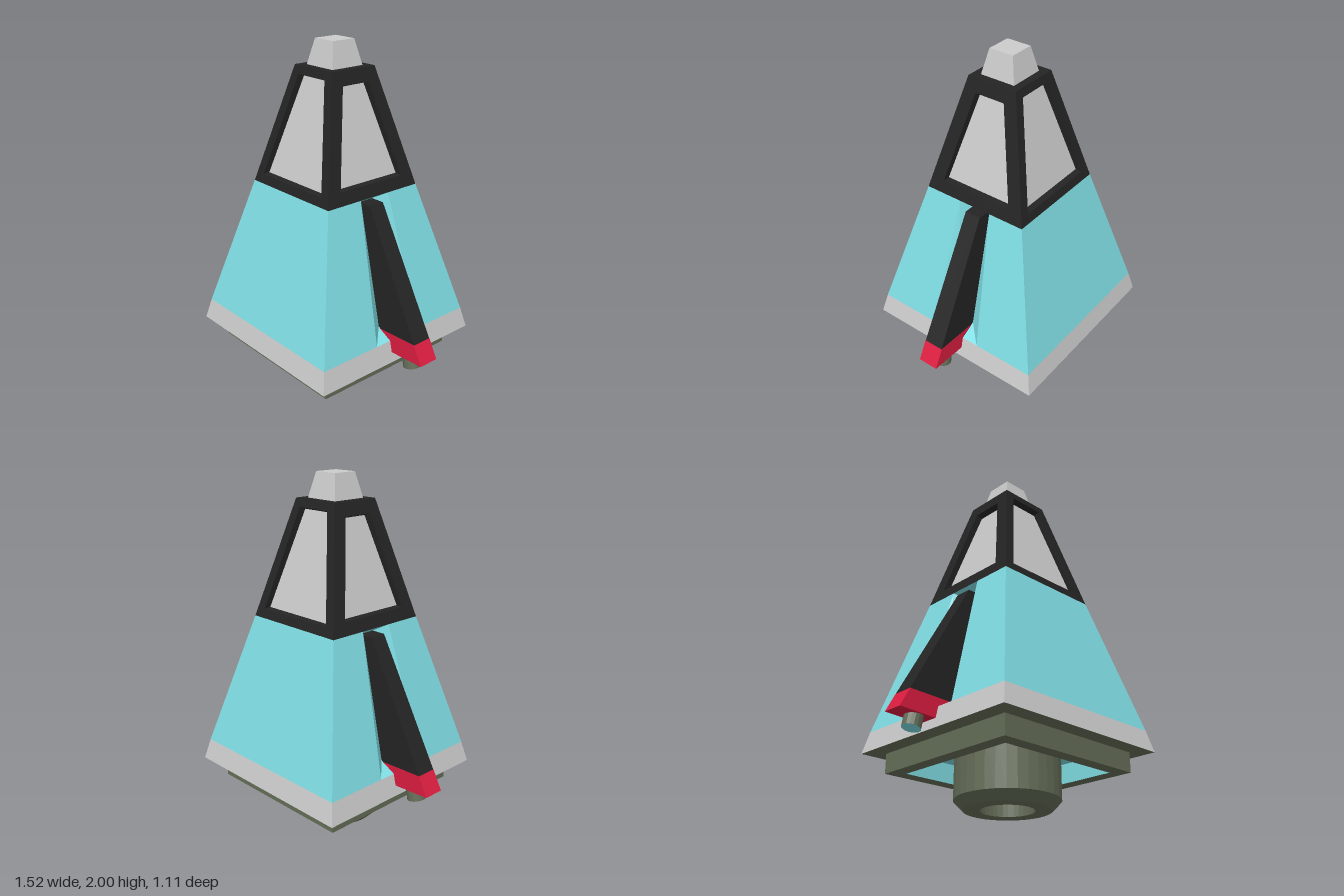
import * as THREE from 'three';

const mat = (color) => new THREE.MeshStandardMaterial({ color, flatShading: true });

// Square loop at height y with half-width r, starting at the front left corner
const square = (y, r) => [[-r, y, r], [r, y, r], [r, y, -r], [-r, y, -r]];

// Quads joining two four-point loops
const band = (a, b) => a.map((p, i) => [p, a[(i + 1) % 4], b[(i + 1) % 4], b[i]]);

// Trapezoid on a front-facing slope, counter-clockwise from bottom left
const trapezoid = (y0, w0, z0, y1, w1, z1, off = 0) =>
  [[-w0 + off, y0, z0], [w0 + off, y0, z0], [w1 + off, y1, z1], [-w1 + off, y1, z1]];

function quadMesh(name, material, quads) {
  const points = quads.flatMap(([a, b, c, d]) => [a, b, c, a, c, d]).flat();
  const geometry = new THREE.BufferGeometry();
  geometry.setAttribute('position', new THREE.Float32BufferAttribute(points, 3));
  geometry.computeVertexNormals();
  const mesh = new THREE.Mesh(geometry, material);
  mesh.name = name;
  return mesh;
}

export function createModel() {
  const model = new THREE.Group();
  model.name = 'rocket';
  const grey = mat(0xcccccc), teal = mat(0x7fdde3), black = mat(0x242424);
  const red = mat(0xdc1d40), olive = mat(0x656e58);

  // Nose block and grey skirt
  const noseTop = square(2, 0.073);
  model.add(quadMesh('noseTip', grey, [...band(square(1.86, 0.105), noseTop), noseTop]));
  model.add(quadMesh('skirt', grey, band(square(0.31, 0.555), square(0.43, 0.527))));

  // Hull and cabin, one side at a time
  const hullFace = trapezoid(0.43, 0.527, 0.527, 1.2, 0.32, 0.32);
  const cabinFace = trapezoid(1.2, 0.32, 0.32, 1.86, 0.15, 0.15);
  const cabinZ = (y) => 0.32 - (y - 1.2) * 0.2576;
  for (let i = 0; i < 4; i++) {
    const side = new THREE.Group();
    side.name = ['frontSide', 'leftSide', 'backSide', 'rightSide'][i];
    side.rotation.y = i * Math.PI / 2;
    const lateral = i % 2 === 1;

    // Lateral hull panels have a tapered groove for the fin
    if (lateral) {
      const off = i === 1 ? 0.006 : -0.006;
      const rim = trapezoid(0.43, 0.16, 0.527, 1.2, 0.1, 0.32, off);
      const floor = trapezoid(0.48, 0.055, 0.43, 1.16, 0.05, 0.25, off);
      side.add(quadMesh('groovedHullPanel', teal, [
        [hullFace[0], rim[0], rim[3], hullFace[3]],
        [rim[1], hullFace[1], hullFace[2], rim[2]],
        ...band(rim, floor), floor,
      ]));
    } else {
      side.add(quadMesh('hullPanel', teal, [hullFace]));
    }

    // Window frame with a recessed pane
    const [y0, w0, y1, w1] = lateral ? [1.27, 0.22, 1.785, 0.09] : [1.25, 0.25, 1.815, 0.107];
    const depth = 0.035;
    const hole = trapezoid(y0, w0, cabinZ(y0), y1, w1, cabinZ(y1));
    const pane = trapezoid(y0 + 0.005, w0 - 0.006, cabinZ(y0) - depth,
      y1 - 0.012, w1 - 0.004, cabinZ(y1) - depth);
    side.add(quadMesh('windowFrame', black, [...band(cabinFace, hole), ...band(hole, pane)]));
    side.add(quadMesh('windowPane', grey, [pane]));
    model.add(side);
  }
  model.add(quadMesh('cabinRoof', black, [square(1.86, 0.15)]));

  // Base plate: flange, outer walls and bottom rim around a teal cavity
  model.add(quadMesh('basePlate', olive, [
    ...band(square(0.31, 0.46), square(0.31, 0.555)),
    ...band(square(0.2, 0.46), square(0.31, 0.46)),
    ...band(square(0.2, 0.38), square(0.2, 0.46)),
  ]));
  model.add(quadMesh('baseCavity', teal, [
    ...band(square(0.31, 0.38), square(0.2, 0.38)),
    square(0.31, 0.38).reverse(),
  ]));

  // Main engine: chamfered tube with a blind bore
  const profile = [[0, 0.25], [0.145, 0.25], [0.145, 0], [0.235, 0], [0.285, 0.05], [0.285, 0.31]];
  const engine = new THREE.Mesh(
    new THREE.LatheGeometry(profile.map(([x, y]) => new THREE.Vector2(x, y)), 32), olive);
  engine.name = 'mainEngine';
  model.add(engine);

  // Side fins with red feet and small tilted thrusters
  const section = (x0, y0, x1, y1, w) => [[x0, y0, w], [x1, y1, w], [x1, y1, -w], [x0, y0, -w]];
  for (const s of [1, -1]) {
    const fin = new THREE.Group();
    fin.name = s > 0 ? 'leftFin' : 'rightFin';
    fin.position.z = -0.006;
    if (s < 0) fin.rotation.y = Math.PI;

    const top = section(0.24, 1.16, 0.335, 1.16, 0.048);
    const finEnd = section(0.42, 0.47, 0.704, 0.48, 0.058);
    fin.add(quadMesh('finBlade', black, [...band(finEnd, top), top]));

    const footTop = section(0.42, 0.47, 0.704, 0.48, 0.06);
    const footEnd = section(0.5, 0.363, 0.76, 0.375, 0.06);
    fin.add(quadMesh('finFoot', red,
      [...band(footEnd, footTop), footTop, [...footEnd].reverse()]));

    const thruster = new THREE.Mesh(
      new THREE.CylinderGeometry(0.05, 0.05, 0.09, 16), [olive, olive, teal]);
    thruster.name = 'finThruster';
    thruster.position.set(0.634, 0.348, 0);
    thruster.rotation.z = 0.2;
    fin.add(thruster);
    model.add(fin);
  }
  return model;
}
